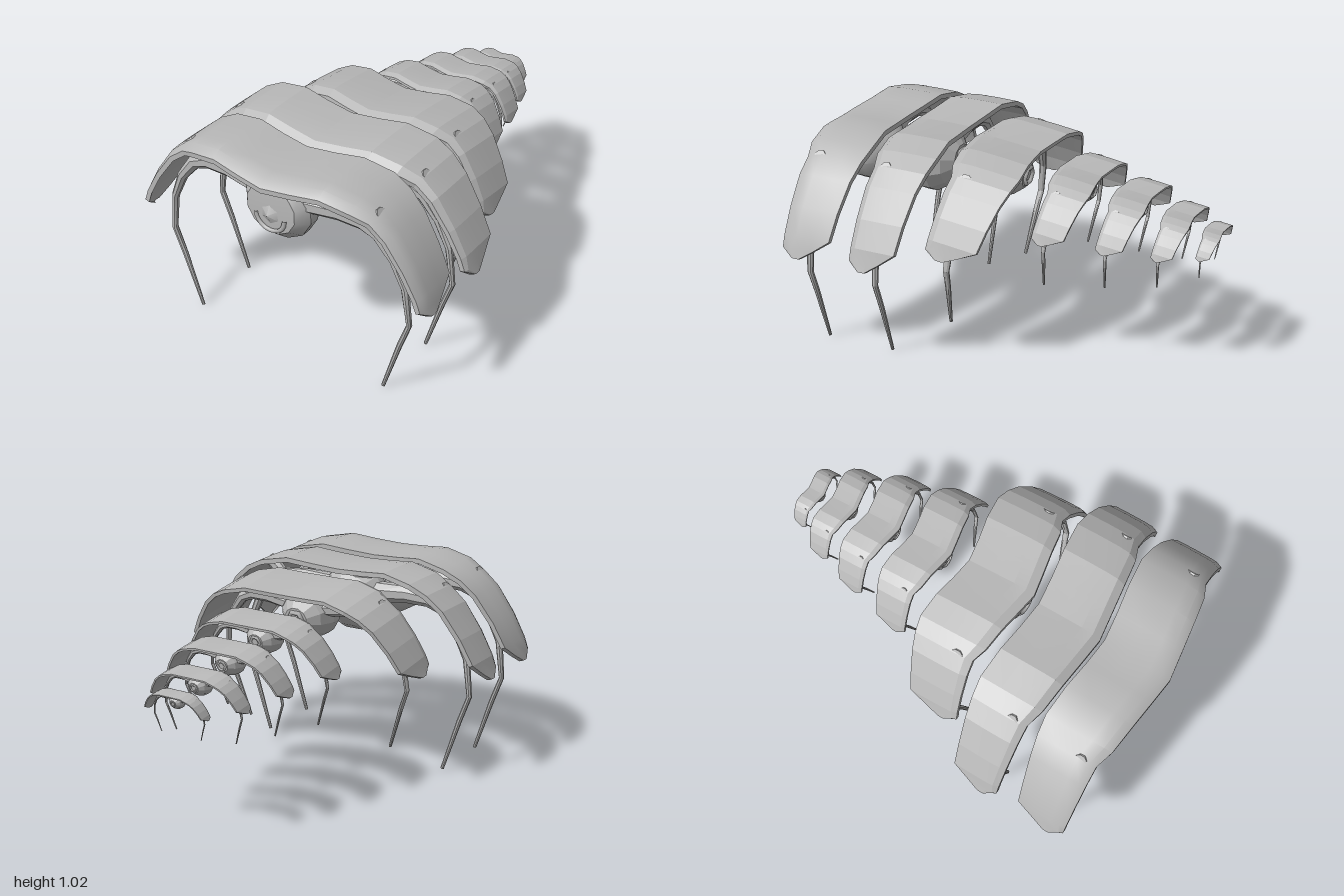
import * as THREE from 'three';
import { toCreasedNormals, mergeVertices } from 'three/addons/utils/BufferGeometryUtils.js';

const bone = new THREE.MeshStandardMaterial({ color: 0xb8b8b8 });
bone.name = 'bone grey';

// Closed solid through equal-length rings of [x, y, z], capped at both ends
function loft(rings, crease) {
  const n = rings[0].length;
  const pts = rings.flat();
  let faces = [];
  for (let i = 0; i < rings.length - 1; i++) {
    for (let j = 0; j < n; j++) {
      const a = i * n + j, b = i * n + (j + 1) % n;
      faces.push([a, b, b + n], [a, b + n, a + n]);
    }
  }
  const last = (rings.length - 1) * n;
  // Zipper caps suit the long thin sections
  for (let lo = 0, hi = n - 1; hi - lo > 1;) {
    faces.push([hi, lo + 1, lo], [last + lo, last + lo + 1, last + hi]);
    lo++;
    if (hi - lo > 1) {
      faces.push([hi, hi - 1, lo], [last + lo, last + hi - 1, last + hi]);
      hi--;
    }
  }
  // Turn the faces outwards
  const v = pts.map(p => new THREE.Vector3(...p));
  const volume = faces.reduce((s, [a, b, c]) => s + v[a].dot(v[b].clone().cross(v[c])), 0);
  if (volume < 0) faces = faces.map(([a, b, c]) => [a, c, b]);
  const geo = new THREE.BufferGeometry();
  geo.setAttribute('position', new THREE.Float32BufferAttribute(pts.flat(), 3));
  geo.setIndex(faces.flat());
  return toCreasedNormals(geo, crease);
}

// Plate: x, y, front z, back z from the midline to the pointed tip
const plateHalf = [
  [0, 1.0, 0.16, -0.18], [0.14, 1.01, 0.142, -0.195], [0.28, 1.025, 0.125, -0.215],
  [0.43, 0.995, 0.105, -0.23], [0.52, 0.95, 0.075, -0.22], [0.6, 0.88, 0.075, -0.205],
  [0.69, 0.75, 0.075, -0.185], [0.752, 0.63, 0.075, -0.17], [0.77, 0.57, 0.075, -0.085],
  [0.785, 0.53, 0.02, -0.02],
];

function plateGeometry(crease) {
  const thick = 0.024;
  const full = [...plateHalf.slice(1).reverse().map(([x, ...r]) => [-x, ...r]), ...plateHalf];
  const columns = [[0, 0.035], [0.12, 0.006], [0.3, 0], [0.65, 0], [1, 0.004]];
  const rings = full.map(([x, y, zf, zb], i) => {
    const p = full[Math.max(i - 1, 0)], q = full[Math.min(i + 1, full.length - 1)];
    const len = Math.hypot(q[0] - p[0], q[1] - p[1]);
    const nx = -(q[1] - p[1]) / len, ny = (q[0] - p[0]) / len;
    const at = (t, d) => [x - nx * d, y - ny * d, THREE.MathUtils.lerp(zf, zb, t)];
    const drop = d => d * Math.max(0.25, ny);
    return [
      ...columns.map(([t, d]) => at(t, drop(d))),
      ...columns.map(([t, d]) => at(t, drop(d) + thick)).reverse(),
    ];
  });
  return loft(rings, crease);
}

// Rib: x, y, half width in the arch plane, half depth
const ribPath = [
  [0.05, 0.86, 0.07, 0.08], [0.15, 0.865, 0.052, 0.06], [0.3, 0.875, 0.045, 0.04],
  [0.42, 0.868, 0.04, 0.034], [0.5, 0.832, 0.034, 0.03], [0.58, 0.73, 0.025, 0.025],
  [0.635, 0.6, 0.018, 0.019], [0.657, 0.41, 0.013, 0.016], [0.607, 0.275, 0.013, 0.014],
  [0.52, 0.005, 0.009, 0.008],
];
const bracePath = [[0.42, 0.86, 0.03, 0.028], [0.475, 0.91, 0.035, 0.03], [0.52, 0.945, 0.03, 0.03]];

function sweep(path, side, crease) {
  const sides = 8;
  const rings = path.map(([x, y, w, d], i) => {
    const p = path[Math.max(i - 1, 0)], q = path[Math.min(i + 1, path.length - 1)];
    const len = Math.hypot(q[0] - p[0], q[1] - p[1]);
    const nx = -(q[1] - p[1]) / len, ny = (q[0] - p[0]) / len;
    return Array.from({ length: sides }, (_, k) => {
      const a = (k + 0.5) / sides * Math.PI * 2;
      return [side * (x + nx * w * Math.cos(a)), y + ny * w * Math.cos(a), d * Math.sin(a)];
    });
  });
  return loft(rings, crease);
}

// Neck joining the vertebra to the plate
function neckGeometry(crease) {
  const levels = [[0.84, 0.16, 0.1], [0.91, 0.12, 0.085], [0.99, 0.125, 0.095]];
  return loft(levels.map(([y, w, d]) => Array.from({ length: 8 }, (_, k) => {
    const a = (k + 0.5) / 8 * Math.PI * 2;
    return [w * Math.cos(a), y, d * Math.sin(a)];
  })), crease);
}

function createSegment(crease) {
  const segment = new THREE.Group();
  const add = (name, geo) => {
    const mesh = new THREE.Mesh(geo, bone);
    mesh.name = name;
    segment.add(mesh);
    return mesh;
  };
  add('backPlate', plateGeometry(crease));
  for (const [label, side] of [['left', 1], ['right', -1]]) {
    add(label + 'Rib', sweep(ribPath, side, crease));
    add(label + 'Brace', sweep(bracePath, side, crease));
  }
  add('neck', neckGeometry(crease));

  // Vertebra body turned about the z axis
  const profile = [[0, -0.13], [0.075, -0.13], [0.135, -0.08], [0.172, -0.01], [0.172, 0.04], [0.125, 0.095], [0, 0.105]];
  const lathe = new THREE.LatheGeometry(profile.map(p => new THREE.Vector2(...p)), 12, Math.PI / 12);
  lathe.rotateX(Math.PI / 2);
  lathe.deleteAttribute('uv');
  lathe.deleteAttribute('normal');
  const body = add('vertebra', toCreasedNormals(mergeVertices(lathe), crease));
  body.position.y = 0.82;
  body.scale.x = 1.05;

  // Socket details on the front and back of the vertebra
  const knob = add('frontKnob', new THREE.ConeGeometry(0.06, 0.03, 6).rotateX(Math.PI / 2));
  knob.position.set(0, 0.8, 0.11);
  const rim = add('frontRim', new THREE.TorusGeometry(0.078, 0.011, 5, 10, Math.PI).rotateZ(Math.PI));
  rim.position.set(0, 0.79, 0.1);
  const ring = add('rearSocket', new THREE.TorusGeometry(0.052, 0.015, 5, 6));
  ring.position.set(0, 0.82, -0.13);
  return segment;
}

// x centre, top y, front z, scale, lengthening, tilt
const segments = [
  [0, 1.03, 0.99, 1, 1, 0],
  [0, 1.03, 0.63, 1, 0.94, 0],
  [0.033, 1.0, 0.27, 0.795, 1.28, -0.12],
  [0.033, 0.91, -0.175, 0.5, 1.26, -0.13],
  [0.035, 0.845, -0.465, 0.412, 1.26, -0.12],
  [0.033, 0.78, -0.71, 0.32, 1.26, -0.12],
  [0.033, 0.725, -0.9, 0.208, 1.24, -0.12],
];

export function createModel() {
  const model = new THREE.Group();
  model.name = 'ribbedSpine';
  segments.forEach(([x, top, front, s, long, tilt], i) => {
    const segment = createSegment(i === 0 ? 0.6 : 0.12);
    segment.name = 'segment' + (i + 1);
    segment.scale.set(s, s, s * long);
    segment.rotation.x = tilt;
    const box = new THREE.Box3().setFromObject(segment, true);
    segment.position.set(x, top - box.max.y, front - box.max.z);
    model.add(segment);
  });
  return model;
}
